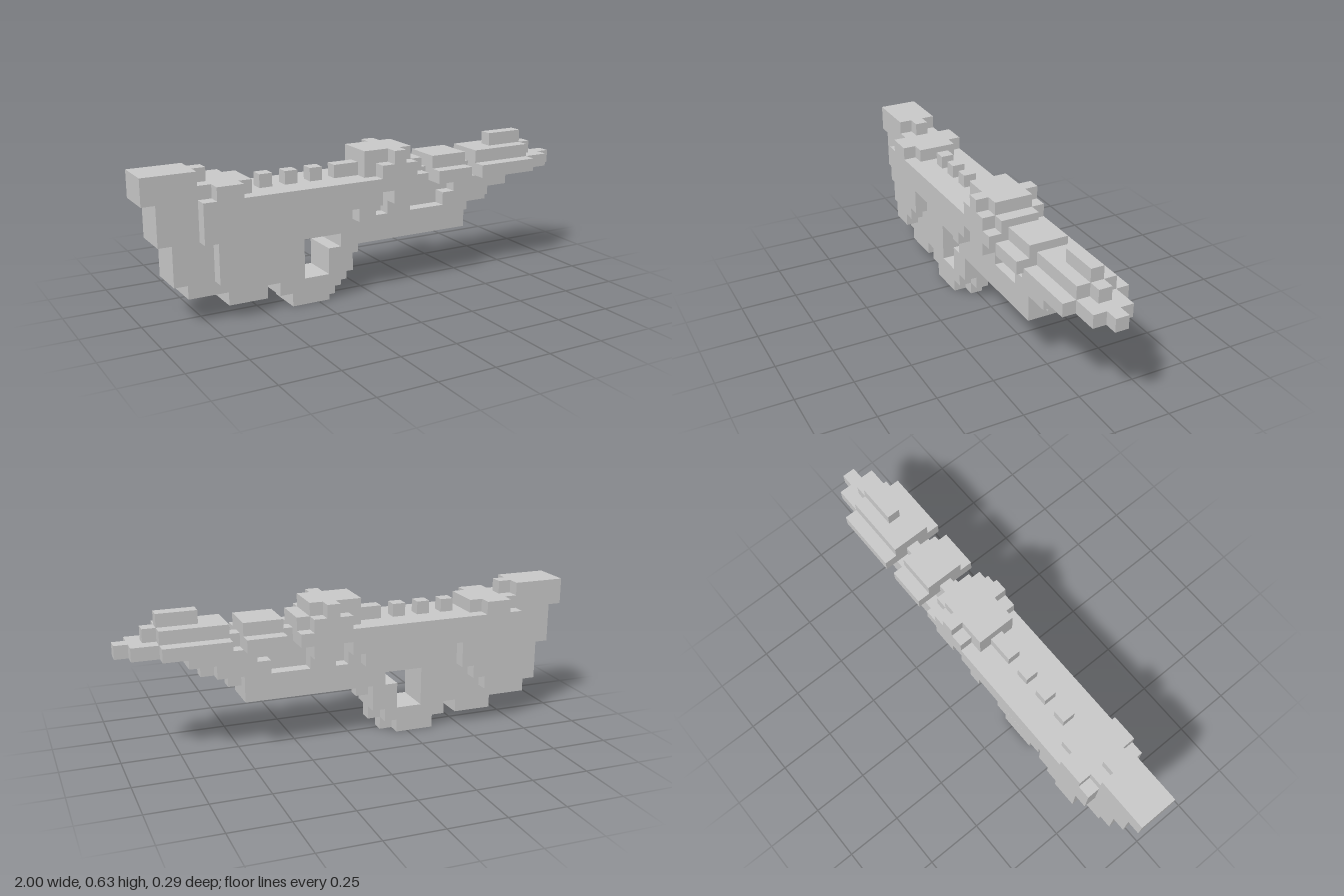
import * as THREE from 'three';

const V = 2 / 35; // one block

// Each box: [x start, x end, y start, y end, depth], all counted in blocks
const parts = {
  stock: [
    [0, 4, 9, 11, 3], [4, 5, 10, 11, 1], [4, 8, 9, 10, 3],
    [1, 12, 6, 9, 3], [2, 12, 3, 6, 3], [3, 12, 2, 3, 3],
    [6, 9, 1, 2, 3],
  ],
  stockCheek: [
    [5, 7, 9, 10, 5], [4, 9, 6, 9, 5], [5, 9, 5, 6, 5],
    [5, 8, 4, 5, 5], [5, 7, 3, 4, 5],
  ],
  receiver: [
    [12, 18, 5, 9, 3], [18, 19, 5, 6, 3], [18, 19, 6, 8, 1], [18, 22, 8, 9, 3],
    [19, 21, 5, 8, 3],
  ],
  receiverCover: [
    [9, 22, 8, 9, 5], [9, 18, 7, 8, 5], [19, 21, 7, 8, 5], [16, 17, 6, 7, 5],
  ],
  grip: [
    [10, 14, 1, 2, 3], [11, 14, 0, 1, 3], [14, 15, 0, 1, 1],
  ],
  triggerGuard: [
    [14, 15, 1, 2, 3], [15, 16, 1, 2, 1], [14, 16, 2, 4, 3],
    [16, 17, 3, 4, 1], [15, 17, 4, 5, 3],
  ],
  railStuds: [9, 11, 13].map((x) => [x, x + 1, 9, 10, 1]).concat([[15, 17, 9, 10, 1]]),
  sight: [
    [17, 22, 9, 10, 3], [18, 21, 9, 10, 5], [17, 21, 10, 11, 3], [19, 20, 10, 11, 5],
  ],
  handguard: [
    [17, 26, 4, 5, 3], [21, 26, 5, 6, 3], [26, 27, 5, 6, 1],
    [21, 24, 6, 8, 1], [24, 28, 6, 7, 3], [28, 29, 6, 7, 1],
    [24, 25, 7, 8, 1], [25, 30, 7, 8, 3],
  ],
  barrel: [
    [22, 27, 8, 9, 1], [23, 26, 8, 9, 5], [23, 26, 9, 10, 3],
    [27, 32, 8, 9, 5], [27, 32, 9, 10, 3],
  ],
  muzzle: [[32, 34, 8, 9, 3], [34, 35, 8, 9, 1]],
  frontSight: [[29, 32, 10, 11, 1], [32, 33, 9, 10, 1]],
};

export function createModel() {
  const model = new THREE.Group();
  const material = new THREE.MeshStandardMaterial({ color: 0xcccccc, flatShading: true });
  for (const [name, boxes] of Object.entries(parts)) {
    const part = new THREE.Group();
    part.name = name;
    boxes.forEach(([x0, x1, y0, y1, depth], i) => {
      const block = new THREE.Mesh(
        new THREE.BoxGeometry((x1 - x0) * V, (y1 - y0) * V, depth * V), material);
      block.position.set(((x0 + x1) / 2) * V - 1, ((y0 + y1) / 2) * V, 0);
      block.name = `${name}Block${i + 1}`;
      part.add(block);
    });
    model.add(part);
  }
  return model;
}
